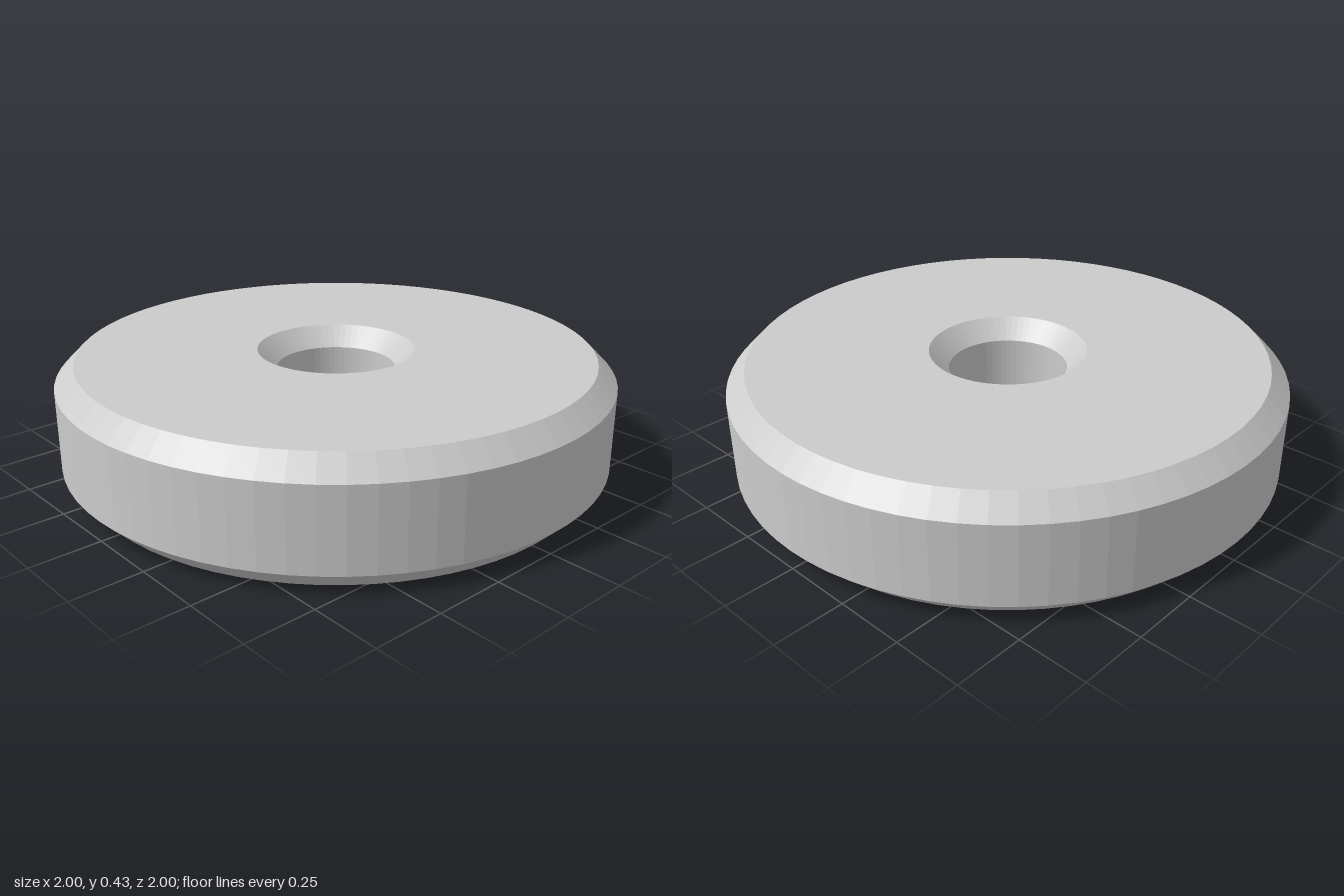
import * as THREE from 'three';

export function createModel() {
  const group = new THREE.Group();
  group.name = 'chamferedWasher';

  const outer = 1, bore = 0.215, height = 0.43, chamfer = 0.07;

  // Closed ring section: up the rim, in across the top, down the bore, out across the bottom
  const profile = [
    [outer - chamfer, 0],
    [outer, chamfer],
    [outer, height - chamfer],
    [outer - chamfer, height],
    [bore + chamfer, height],
    [bore, height - chamfer],
    [bore, chamfer],
    [bore + chamfer, 0],
    [outer - chamfer, 0],
  ].map(([r, y]) => new THREE.Vector2(r, y));

  // Faceted disc with chamfered rim and countersunk bore
  const geometry = new THREE.LatheGeometry(profile, 72).toNonIndexed();
  geometry.computeVertexNormals();
  const disc = new THREE.Mesh(
    geometry,
    new THREE.MeshStandardMaterial({ color: 0xcccccc, flatShading: true })
  );
  disc.name = 'disc';
  group.add(disc);

  return group;
}
